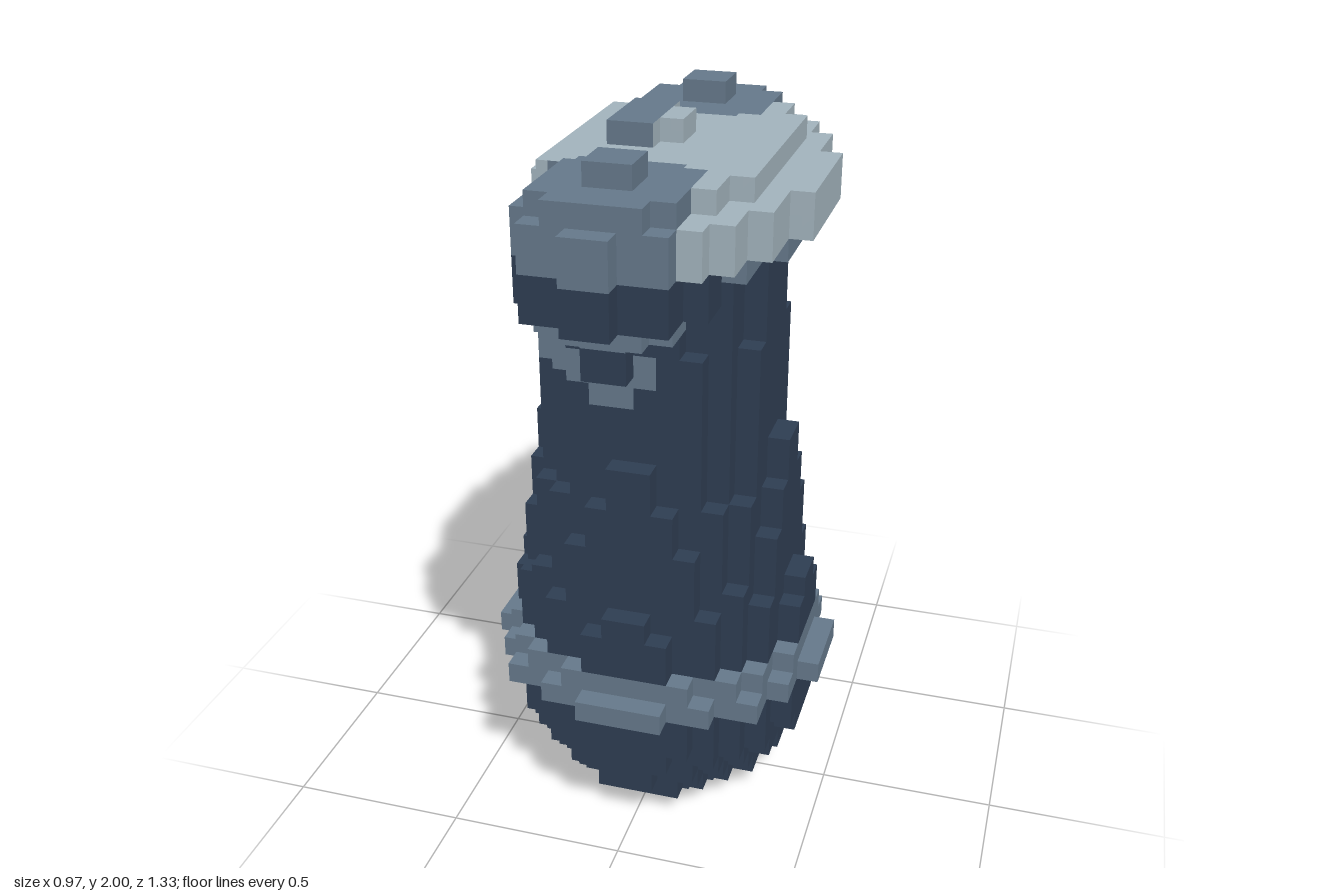
import * as THREE from 'three';

const U = 2 / 33; // size of one block

const paint = (name, color) => {
  const m = new THREE.MeshStandardMaterial({ color });
  m.name = name;
  return m;
};

// Stacks of elliptical block layers: disc(part, row, semi x, semi z, centre x, centre z)
function buildBlocks() {
  const blocks = new Map();
  const disc = (part, j, a, b = a, cx = 0, cz = 0) => {
    for (let i = -8; i < 8; i++) for (let k = -11; k < 11; k++) {
      const inside = Math.hypot((i + 0.5 - cx) / a, (k + 0.5 - cz) / b) <= 1;
      const key = `${i},${j},${k}`;
      if (inside && !blocks.has(key)) blocks.set(key, part);
    }
  };

  // Rounded base and the band around it
  [3.2, 4.8, 5.7, 6.1, 6.7, 7, 7.05].forEach((r, j) => disc('base', j, r));
  disc('band', 7, 7.8);
  disc('band', 8, 7.3);

  // Tapering shaft
  for (let j = 9; j < 29; j++) {
    const r = j < 11 ? 6.85 : j < 19 ? 6.6 - 0.15 * (j - 11) : 5.4 - 0.055 * (j - 19);
    disc('shaft', j, r);
  }

  // Mirrored brackets under the head, and the rounded head ends
  for (const s of [-1, 1]) {
    for (let j = 23; j < 28; j++) disc('bracket', j, j < 25 ? 1.6 : 3, undefined, -1, 4 * s);
    [3.6, 3.6, 3.7, 3.6, 3.2, 1].forEach((r, n) => disc('headEnd', 27 + n, r, r, 0, 7 * s));
  }

  // Broad oval head, offset towards +x
  disc('head', 28, 5.3, 8.4, 0.6);
  disc('head', 29, 5.9, 9.6, 1);
  disc('head', 30, 5.9, 9.6, 1);
  disc('head', 31, 4.8, 9.6, 0.5);

  // Raised stud on top of the head
  for (let i = -2; i < 1; i++) {
    const w = i < 0 ? 2 : 1;
    for (let k = -w; k < w; k++) blocks.set(`${i},32,${k}`, 'topStud');
  }
  return blocks;
}

// Colour by position in block units: 0 navy, 1 slate, 2 pale
function colourAt(part, x, y, z) {
  const az = Math.abs(z);
  if (part === 'band') return 1;
  if (part === 'base') return 0;
  if (part === 'topStud') return x < 0 ? 1 : 2;
  if (part === 'head' || part === 'headEnd') {
    const nearEnd = Math.hypot(x + 0.2, az - 7.3) < 3.9 && az > 4.1;
    if (y < 29.05) return part === 'headEnd' ? 0 : 1;
    return part === 'headEnd' && az > 9 ? 1 : nearEnd && x < 3.05 ? 1 : 2;
  }
  // Patches on the upper shaft and brackets
  if (x > 2 || (x > -2.5 && az < 2)) return 0;
  const middle = Math.abs(x + 1) < 1;
  if (y > 25) return y > 27.6 ? 0 : 1;
  if (part === 'bracket') return y > 24.4 && middle ? 1 : 0;
  if (y > 24) return middle ? 1 : 0;
  if (y > 22.4) return x < 0.8 ? 1 : 0;
  return y > 21.4 && middle ? 1 : 0;
}

export function createModel() {
  const materials = [
    paint('navy', 0x2e3d52),
    paint('slate', 0x65788a),
    paint('pale grey blue', 0xa2b3bc),
  ];
  const group = new THREE.Group();
  group.name = 'blockHammer';
  const blocks = buildBlocks();
  const buckets = {};

  // Emit only exposed faces, each as 2 x 2 small squares so colour edges can cross a block
  for (const [key, part] of blocks) {
    const cell = key.split(',').map(Number);
    for (let axis = 0; axis < 3; axis++) for (const s of [-1, 1]) {
      const next = [...cell];
      next[axis] += s;
      if (blocks.has(next.join())) continue;
      const ua = (axis + 1) % 3, va = (axis + 2) % 3;
      for (const du of [0, 0.5]) for (const dv of [0, 0.5]) {
        const point = (u, v) => {
          const p = [...cell];
          p[axis] += s > 0 ? 1 : 0;
          p[ua] += du + u;
          p[va] += dv + v;
          return p;
        };
        const colour = colourAt(part, ...point(0.25, 0.25));
        const a = point(0, 0), b = point(0.5, 0), c = point(0.5, 0.5), d = point(0, 0.5);
        const corners = s > 0 ? [a, b, c, a, c, d] : [a, c, b, a, d, c];
        buckets[part] ??= [[], [], []];
        for (const p of corners) buckets[part][colour].push(...p.map((n) => n * U));
      }
    }
  }

  // One mesh for each part, with a geometry group for each colour
  for (const [part, lists] of Object.entries(buckets)) {
    const geometry = new THREE.BufferGeometry();
    geometry.setAttribute('position', new THREE.Float32BufferAttribute(lists.flat(), 3));
    geometry.computeVertexNormals();
    let start = 0;
    lists.forEach((list, n) => {
      if (list.length) geometry.addGroup(start, list.length / 3, n);
      start += list.length / 3;
    });
    const mesh = new THREE.Mesh(geometry, materials);
    mesh.name = part;
    group.add(mesh);
  }
  return group;
}
